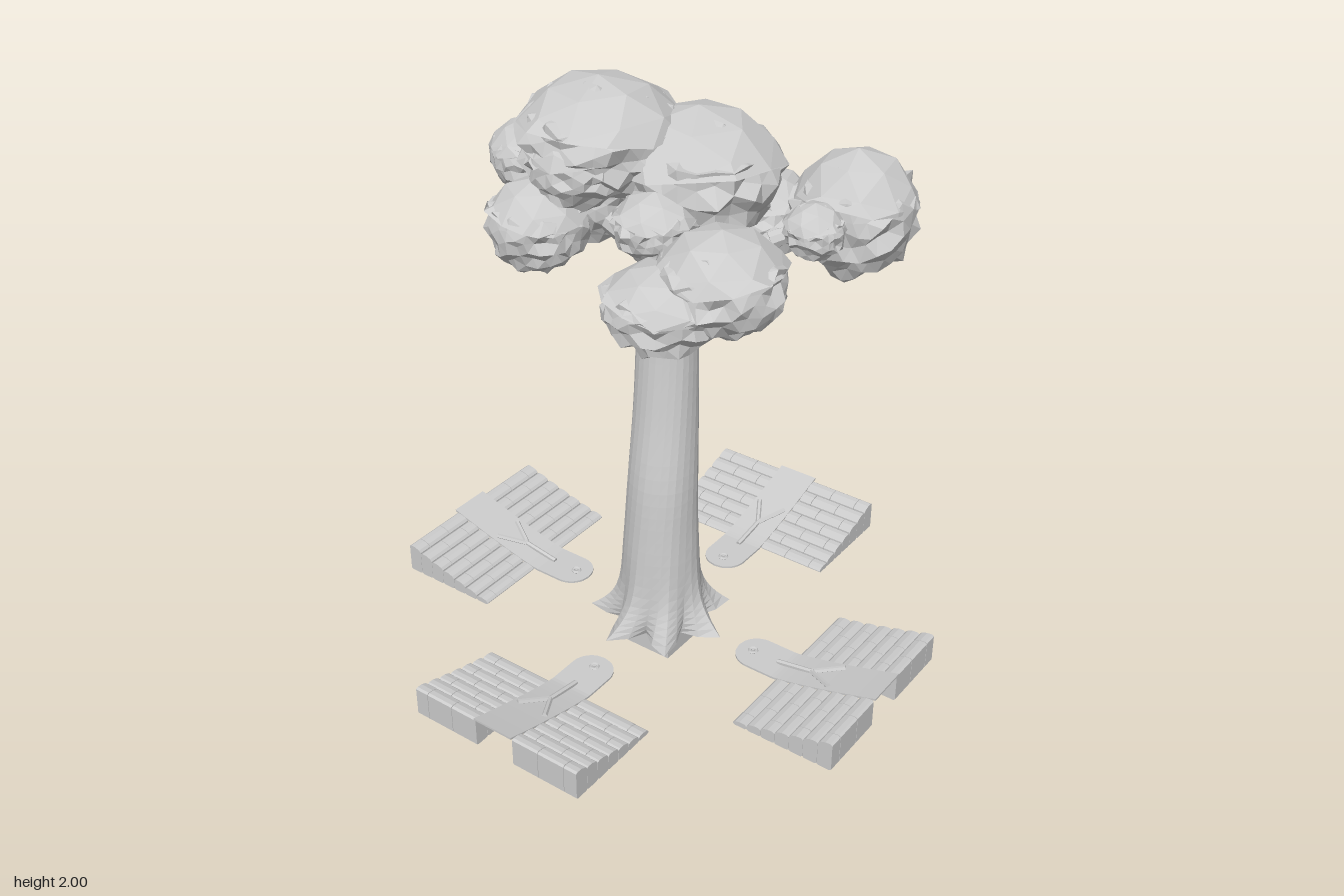
import * as THREE from 'three';

const V = (x, y, z) => new THREE.Vector3(x, y, z);
const mat = new THREE.MeshStandardMaterial({ color: 0xcccccc, flatShading: true });

// repeatable pseudo-random value for a point
function hash(x, y, z) {
  const s = Math.sin(Math.round(x * 100) * 12.9898 + Math.round(y * 100) * 78.233 + Math.round(z * 100) * 37.719) * 43758.5453;
  return s - Math.floor(s);
}

function add(parent, name, geometry) {
  const mesh = new THREE.Mesh(geometry, mat);
  mesh.name = name;
  parent.add(mesh);
  return mesh;
}

// move every vertex of a geometry by a rule
function reshape(geometry, rule) {
  const p = geometry.attributes.position;
  const v = V(0, 0, 0);
  for (let i = 0; i < p.count; i++) {
    v.fromBufferAttribute(p, i);
    rule(v);
    p.setXYZ(i, v.x, v.y, v.z);
  }
  geometry.computeVertexNormals();
  return geometry;
}

// tapered rod between two points
function rod(parent, name, a, b, r0, r1, sides = 8) {
  const d = b.clone().sub(a);
  const mesh = add(parent, name, new THREE.CylinderGeometry(r1, r0, d.length(), sides));
  mesh.position.copy(a).add(b).multiplyScalar(0.5);
  mesh.quaternion.setFromUnitVectors(V(0, 1, 0), d.normalize());
}

// curved trunk, flaring into seven pointed roots
function makeTrunk(parent) {
  const rings = [ // x, y, z, radius
    [0.018, 0.085, -0.015, 0.19], [0.012, 0.2, -0.01, 0.146], [0.012, 0.42, -0.01, 0.127], [0.02, 0.65, -0.01, 0.117],
    [0.05, 0.9, -0.02, 0.107], [0.07, 1.15, -0.03, 0.1], [0.068, 1.38, -0.035, 0.09], [0.075, 1.65, -0.05, 0.072],
  ];
  const centre = new THREE.CatmullRomCurve3(rings.map(([x, y, z]) => V(x, y, z)));
  const radius = new THREE.CatmullRomCurve3(rings.map((r) => V(r[3], r[1], 0)));
  add(parent, 'trunk', reshape(new THREE.CylinderGeometry(1, 1, 1, 28, 35), (v) => {
    const t = v.y + 0.5;
    const c = centre.getPoint(t);
    const a = Math.atan2(v.x, v.z);
    const flare = 0.3 * Math.exp(-(c.y - 0.085) / 0.07);
    const r = radius.getPoint(t).x * Math.hypot(v.x, v.z) * (1 + (flare + 0.008) * Math.cos(7 * a));
    const twist = a + t * 0.7;
    v.set(c.x + Math.sin(twist) * r, c.y, c.z + Math.cos(twist) * r);
  }));
  const plug = add(parent, 'basePlug', new THREE.BoxGeometry(0.185, 0.085, 0.185));
  plug.position.y = 0.0425;
}

// leaf clump: a smooth faceted dome overhanging a craggy underside
function makeClump(parent, [x, y, z, r, ry], seed) {
  const clump = new THREE.Group();
  clump.name = 'leafClump';
  add(clump, 'leafDome', reshape(new THREE.IcosahedronGeometry(1.03, 1), (v) => {
    const n = hash(v.x, v.y + seed, v.z);
    if (v.y < 0.3) {
      const a = Math.atan2(v.x, v.z);
      v.y = 0.22 + 0.12 * Math.sin(2 * a + seed) + 0.1 * n;
    } else {
      v.multiplyScalar(1 - 0.04 * n);
      v.y *= 0.97;
    }
  }));
  add(clump, 'leafCrags', reshape(new THREE.IcosahedronGeometry(1, 4), (v) => {
    const n = hash(v.x + seed, v.y, v.z);
    const a = Math.atan2(v.x, v.z);
    const ledge = 0.045 * Math.sin(v.y * 14 + 2 * Math.sin(2 * a + seed));
    const jog = (hash(v.z, v.x, v.y + seed) - 0.5) * 0.12;
    v.multiplyScalar((v.y > 0.5 ? 0.9 : 1.03) - 0.13 * n + ledge);
    v.y += jog;
  }));
  clump.scale.set(r, ry, r);
  clump.rotation.y = seed * 1.3;
  clump.position.set(x, y, z);
  parent.add(clump);
}

// height of the ramp at distance r from the trunk
const rise = (r) => 0.104 + 0.1 * Math.pow(Math.max(0, (r - 0.5) / 0.38), 1.2);

// one brick with a sloping, rounded top, running from x0 to x1
function makeBrick(parent, r0, r1, x0, x1) {
  const h0 = rise(r0), h1 = rise(r1);
  const at = (t, lift) => [r0 + (r1 - r0) * t, h0 + (h1 - h0) * t + lift];
  const shape = new THREE.Shape([
    [r0, 0.101], at(0.12, 0.097 - h0 - (h1 - h0) * 0.12), at(0.88, 0.097 - h0 - (h1 - h0) * 0.88), [r1, 0.101],
    at(1, -0.006), at(0.85, 0.001), at(0.5, 0.005), at(0.15, 0.004), at(0, -0.002),
  ].map(([x, y]) => new THREE.Vector2(x, y)));
  const geo = new THREE.ExtrudeGeometry(shape, { depth: x1 - x0, bevelEnabled: false });
  geo.rotateY(-Math.PI / 2);
  add(parent, 'brick', geo).position.x = x1;
}

// brick ramp with a curved central strip, built along +z
function makeRamp() {
  const ramp = new THREE.Group();
  ramp.name = 'ramp';
  const rows = 7, start = 0.515, step = 0.362 / rows;
  for (const side of [-1, 1]) {
    const inner = 0.073, outer = 0.325, length = 0.101;
    for (let i = 0; i < rows; i++) {
      const r0 = start + i * step;
      for (let x = inner - (i % 2 ? length / 2 : 0); x < outer - 0.005; x += length) {
        const a = Math.max(x, inner) + 0.001;
        const b = Math.min(x + length, outer) - 0.001;
        makeBrick(ramp, r0, r0 + step - 0.001, side > 0 ? a : -b, side > 0 ? b : -a);
      }
    }
  }
  // thin strip with a round inner end
  add(ramp, 'strip', reshape(new THREE.BoxGeometry(1, 1, 1, 2, 1, 40), (v) => {
    const t = v.z + 0.5;
    const r = 0.322 + 0.56 * t * (0.35 + 0.65 * t);
    const half = r < 0.397 ? Math.sqrt(Math.max(0, 0.075 ** 2 - (0.397 - r) ** 2)) : 0.075;
    v.set(v.x * 2 * half, rise(r) + 0.003 + v.y * 0.007, r);
  }));
  // raised fork on the strip
  const on = (x, r) => V(x, rise(r) + 0.008, r);
  rod(ramp, 'forkStem', on(0, 0.475), on(0, 0.615), 0.009, 0.009, 6);
  for (const s of [-1, 1]) rod(ramp, 'forkArm', on(0, 0.605), on(s * 0.055, 0.7), 0.009, 0.009, 6);
  // small ring and stud near the round end
  const ring = add(ramp, 'ring', new THREE.TorusGeometry(0.012, 0.006, 5, 12));
  ring.rotation.x = Math.PI / 2;
  ring.position.set(0, 0.112, 0.378);
  const stud = add(ramp, 'stud', new THREE.CylinderGeometry(0.006, 0.006, 0.012, 8));
  stud.position.set(0, 0.112, 0.378);
  return ramp;
}

export function createModel() {
  const model = new THREE.Group();
  const tree = new THREE.Group();
  tree.name = 'tree';
  model.add(tree);
  makeTrunk(tree);

  // branches
  rod(tree, 'branch', V(0.1, 1.24, 0.01), V(0.46, 1.4, 0.13), 0.045, 0.03);
  rod(tree, 'branch', V(0.42, 1.39, 0.12), V(0.62, 1.46, 0.3), 0.03, 0.02);
  rod(tree, 'branch', V(0.05, 1.35, 0), V(-0.16, 1.5, 0.27), 0.045, 0.03);
  rod(tree, 'branch', V(0.06, 1.42, -0.06), V(-0.03, 1.6, -0.3), 0.045, 0.03);

  // leaf clumps: x, y, z, radius, half height
  const clumps = [
    [-0.01, 1.815, -0.225, 0.255, 0.188], [0.145, 1.705, 0.03, 0.265, 0.212],
    [-0.165, 1.545, 0.33, 0.197, 0.165], [-0.28, 1.475, 0.21, 0.185, 0.135],
    [0.63, 1.47, 0.31, 0.207, 0.215], [0.575, 1.41, -0.01, 0.18, 0.155], [0.395, 1.485, 0.3, 0.1, 0.095],
    [-0.21, 1.57, -0.31, 0.16, 0.15], [0.06, 1.575, -0.36, 0.19, 0.17],
    [-0.07, 1.715, -0.455, 0.125, 0.12], [-0.13, 1.76, -0.22, 0.15, 0.14], [-0.1, 1.62, 0.05, 0.13, 0.11],
  ];
  clumps.forEach((c, i) => makeClump(tree, c, i + 1));

  // four ramps around the trunk
  for (let i = 0; i < 4; i++) {
    const ramp = makeRamp();
    ramp.rotation.y = i * Math.PI / 2;
    model.add(ramp);
  }
  return model;
}
